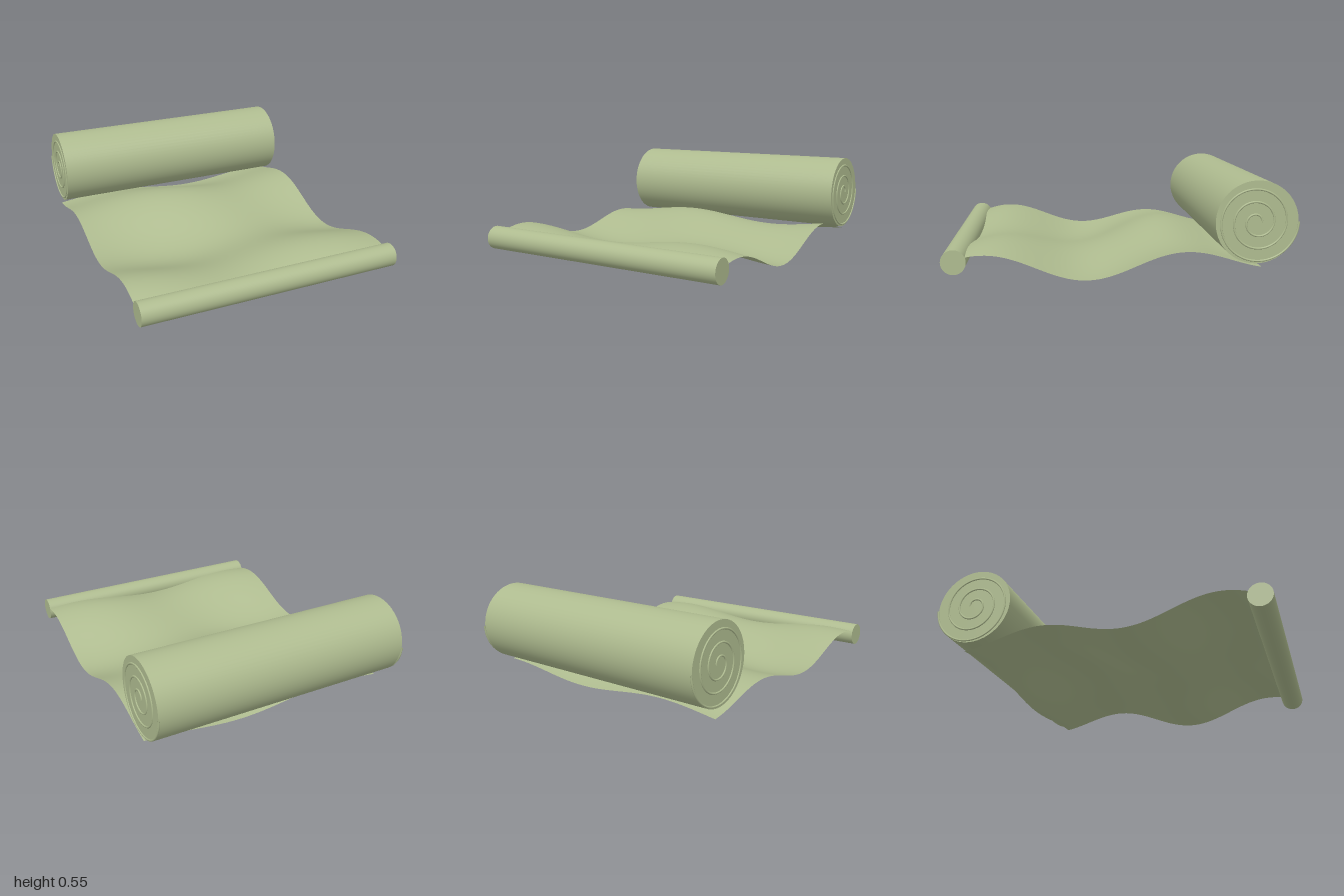
import * as THREE from 'three';

const WIDTH = 1.6;
const ROLL = { y: 0.32, z: -0.758, r: 0.236 };

// Height of the unrolled sheet: long ripples in z plus a slanted cross ripple
const sheetHeight = (x, z) =>
  0.091 - 0.06 * Math.cos(5.9 * (z - 0.2)) +
  0.027 * Math.cos(5.1 * (x - 0.185) - 3.2 * (z - 0.2));

export function createModel() {
  const group = new THREE.Group();
  const green = new THREE.MeshStandardMaterial({ color: 0xaebb8f, side: THREE.DoubleSide });
  green.name = 'sage green';

  const add = (name, geometry, x = 0, y = 0, z = 0) => {
    const mesh = new THREE.Mesh(geometry, green);
    mesh.name = name;
    mesh.position.set(x, y, z);
    group.add(mesh);
    return mesh;
  };

  // Rippled sheet, from inside the front rod to under the roll
  const zFront = 0.92, zBack = -0.79;
  const sheet = new THREE.PlaneGeometry(WIDTH, zFront - zBack, 48, 72);
  sheet.rotateX(-Math.PI / 2);
  sheet.translate(0, 0, (zFront + zBack) / 2);
  const p = sheet.attributes.position;
  for (let i = 0; i < p.count; i++) p.setY(i, sheetHeight(p.getX(i), p.getZ(i)));
  sheet.computeVertexNormals();
  add('sheet', sheet);

  // Thick roll at the back and small rolled edge at the front
  const bar = (radius) => new THREE.CylinderGeometry(radius, radius, WIDTH, 64).rotateZ(Math.PI / 2);
  add('roll', bar(ROLL.r), 0, ROLL.y, ROLL.z);
  add('frontRoll', bar(0.07), 0, 0.12, 0.93);

  // Raised spiral showing the wound layers on each end of the roll
  const turns = 3, points = [];
  for (let i = 0; i <= turns * 24; i++) {
    const t = i / 24, a = t * Math.PI * 2, r = 0.025 + 0.0715 * t;
    points.push(new THREE.Vector3(0, r * Math.sin(a), -r * Math.cos(a)));
  }
  const spiral = new THREE.TubeGeometry(new THREE.CatmullRomCurve3(points), 220, 0.006, 8);
  add('leftSpiral', spiral, WIDTH / 2, ROLL.y, ROLL.z);
  add('rightSpiral', spiral, -WIDTH / 2, ROLL.y, ROLL.z);

  return group;
}
